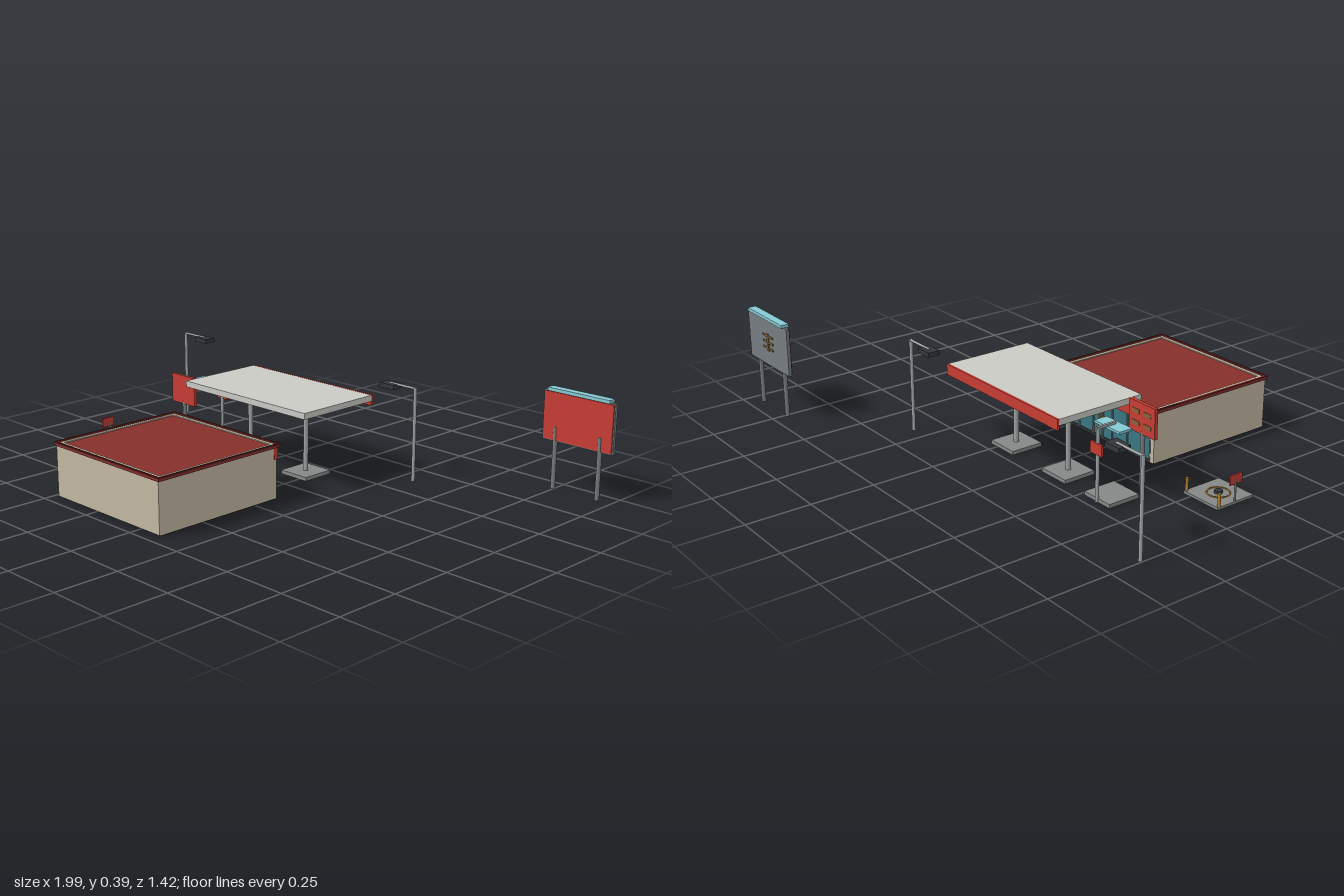
import * as THREE from 'three';

const mat = (color) => new THREE.MeshStandardMaterial({ color });
const M = {
  wall: mat(0xc3b8a3), white: mat(0xcacbc5), red: mat(0xc63d34), roof: mat(0x852f2b),
  trim: mat(0x5f211e), steel: mat(0x767d82), pale: mat(0xa0a4a4), dark: mat(0x33373b),
  pad: mat(0x858886), lamp: mat(0x88cbd4), glass: mat(0x387681), yellow: mat(0xb5832e), brown: mat(0x8a6338),
};

export function createModel() {
  const model = new THREE.Group();
  const group = (name, x = 0, z = 0) => {
    const g = new THREE.Group();
    g.name = name;
    g.position.set(x, 0, z);
    model.add(g);
    return g;
  };
  const add = (parent, name, geometry, material, x, y, z) => {
    const m = new THREE.Mesh(geometry, material);
    m.name = name;
    m.position.set(x, y, z);
    parent.add(m);
    return m;
  };
  // box given by its lower and upper limits
  const box = (p, name, material, x0, x1, y0, y1, z0, z1) =>
    add(p, name, new THREE.BoxGeometry(x1 - x0, y1 - y0, z1 - z0), material,
      (x0 + x1) / 2, (y0 + y1) / 2, (z0 + z1) / 2);
  const post = (p, name, material, x, z, r, y0, y1, sides = 12) =>
    add(p, name, new THREE.CylinderGeometry(r, r, y1 - y0, sides), material, x, (y0 + y1) / 2, z);
  // rectangular ring lying flat
  const ring = (p, name, material, w, d, t, y0, y1, x, z) => {
    const s = new THREE.Shape([[-w, -d], [w, -d], [w, d], [-w, d]].map(([a, b]) => new THREE.Vector2(a / 2, b / 2)));
    const [a, b] = [w / 2 - t, d / 2 - t];
    s.holes.push(new THREE.Path([[-a, -b], [-a, b], [a, b], [a, -b]].map(([u, v]) => new THREE.Vector2(u, v))));
    const g = new THREE.ExtrudeGeometry(s, { depth: y1 - y0, bevelEnabled: false }).rotateX(-Math.PI / 2);
    return add(p, name, g, material, x, y0, z);
  };

  // shop: its glazed side faces the forecourt at the back
  const shop = group('shop', -0.185, 0.42);
  box(shop, 'floor', M.dark, -0.287, 0.287, 0, 0.01, -0.277, 0.277);
  box(shop, 'frontWall', M.wall, -0.29, 0.29, 0.004, 0.203, 0.265, 0.283);
  for (const s of [-1, 1]) {
    const inner = s * 0.272, outer = s * 0.29;
    box(shop, 'sideWall', M.wall, Math.min(inner, outer), Math.max(inner, outer), 0.004, 0.203, -0.277, 0.265);
  }
  box(shop, 'shopGlass', M.glass, -0.272, 0.272, 0.01, 0.16, -0.272, -0.262);
  for (const x of [-0.268, -0.14, -0.055, 0, 0.055, 0.14, 0.268])
    box(shop, 'windowMullion', M.steel, x - 0.003, x + 0.003, 0.01, 0.158, -0.278, -0.262);
  for (const x of [-0.012, 0.012]) box(shop, 'doorHandle', M.yellow, x - 0.003, x + 0.003, 0.055, 0.1, -0.284, -0.276);
  box(shop, 'shopFascia', M.red, -0.292, 0.292, 0.155, 0.203, -0.283, -0.263);
  box(shop, 'roof', M.roof, -0.28, 0.28, 0.195, 0.207, -0.27, 0.275);
  ring(shop, 'roofTrim', M.roof, 0.594, 0.574, 0.012, 0.2, 0.213, 0, 0);
  ring(shop, 'parapet', M.wall, 0.57, 0.55, 0.013, 0.2, 0.211, 0, 0);
  ring(shop, 'roofEdge', M.trim, 0.597, 0.577, 0.006, 0.209, 0.215, 0, 0);

  // canopy on two columns
  const canopy = group('canopy', -0.185, -0.145);
  box(canopy, 'canopyRoof', M.white, -0.33, 0.33, 0.291, 0.315, -0.18, 0.185);
  box(canopy, 'canopyFascia', M.red, -0.33, 0.33, 0.274, 0.3155, -0.187, -0.178);
  for (const x of [-0.155, 0.155]) {
    box(canopy, 'columnBase', M.pad, x - 0.067, x + 0.067, 0, 0.015, -0.067, 0.067);
    post(canopy, 'column', M.pale, x, 0, 0.01, 0.015, 0.292);
    box(canopy, 'canopyLight', M.lamp, x - 0.067, x + 0.067, 0.284, 0.292, -0.028, 0.028);
  }

  // lit stand beside the canopy
  const stand = group('serviceStand', -0.582, -0.145);
  box(stand, 'standBase', M.pad, -0.067, 0.067, 0, 0.015, -0.067, 0.067);
  post(stand, 'standPost', M.pale, 0, -0.066, 0.007, 0, 0.28);
  box(stand, 'standArm', M.pale, -0.005, 0.005, 0.272, 0.282, -0.072, 0.01);
  box(stand, 'standLight', M.lamp, -0.067, 0.067, 0.264, 0.273, -0.028, 0.028);
  box(stand, 'standPanel', M.red, -0.03, 0.03, 0.18, 0.222, -0.075, -0.066);

  // tall price board
  const sign = group('priceBoard', -0.582, -0.008);
  post(sign, 'signPost', M.steel, 0, 0, 0.009, 0, 0.21);
  box(sign, 'signPanel', M.red, -0.067, 0.067, 0.2, 0.316, -0.007, 0.007);
  for (const y of [0.235, 0.28]) for (const x of [-0.03, 0.03])
    box(sign, 'signInset', M.brown, x - 0.018, x + 0.018, y - 0.008, y + 0.008, -0.009, -0.006);

  // air service pad
  const air = group('airPad', -0.8, 0.155);
  box(air, 'padSlab', M.pad, -0.085, 0.085, 0, 0.01, -0.085, 0.085);
  add(air, 'paintedRing', new THREE.TorusGeometry(0.041, 0.003, 6, 36).rotateX(Math.PI / 2), M.yellow, 0, 0.011, 0);
  post(air, 'drainCover', M.dark, 0, 0, 0.015, 0.01, 0.02, 16);
  for (const x of [-0.08, 0.08]) post(air, 'bollard', M.yellow, x, -0.075, 0.006, 0.01, 0.06);
  post(air, 'padSignPost', M.steel, -0.08, 0, 0.004, 0.01, 0.09);
  box(air, 'padSign', M.red, -0.083, -0.077, 0.075, 0.112, -0.028, 0.028);

  // mirrored pair of street lamps
  for (const s of [1, -1]) {
    const lamp = group('streetLamp', s > 0 ? -0.992 : 0.322, -0.372);
    post(lamp, 'lampPole', M.pale, 0, 0, 0.007, 0, 0.37);
    const arm = add(lamp, 'lampArm', new THREE.CylinderGeometry(0.005, 0.005, 0.13, 10), M.pale, s * 0.062, 0.366, 0);
    arm.rotation.z = Math.PI / 2;
    add(lamp, 'lampHead', new THREE.BoxGeometry(0.07, 0.018, 0.05), M.dark, s * 0.122, 0.357, 0);
    add(lamp, 'lampLens', new THREE.BoxGeometry(0.056, 0.005, 0.038), M.lamp, s * 0.122, 0.347, 0);
  }

  // billboard on two posts
  const board = group('billboard', 0.84, -0.69);
  for (const x of [-0.098, 0.098]) post(board, 'boardPost', M.steel, x, 0.002, 0.009, 0, 0.24);
  box(board, 'boardBack', M.steel, -0.155, 0.155, 0.184, 0.378, -0.009, 0.004);
  box(board, 'boardFace', M.red, -0.15, 0.15, 0.189, 0.373, 0.002, 0.008);
  box(board, 'boardLight', M.lamp, -0.135, 0.135, 0.376, 0.389, -0.019, 0.014);
  // braces on the rear
  box(board, 'rearUpright', M.brown, -0.006, 0.006, 0.245, 0.315, -0.013, -0.008);
  for (const y of [0.255, 0.28, 0.305]) box(board, 'rearBrace', M.brown, -0.04, 0.04, y - 0.004, y + 0.004, -0.012, -0.008);

  return model;
}
